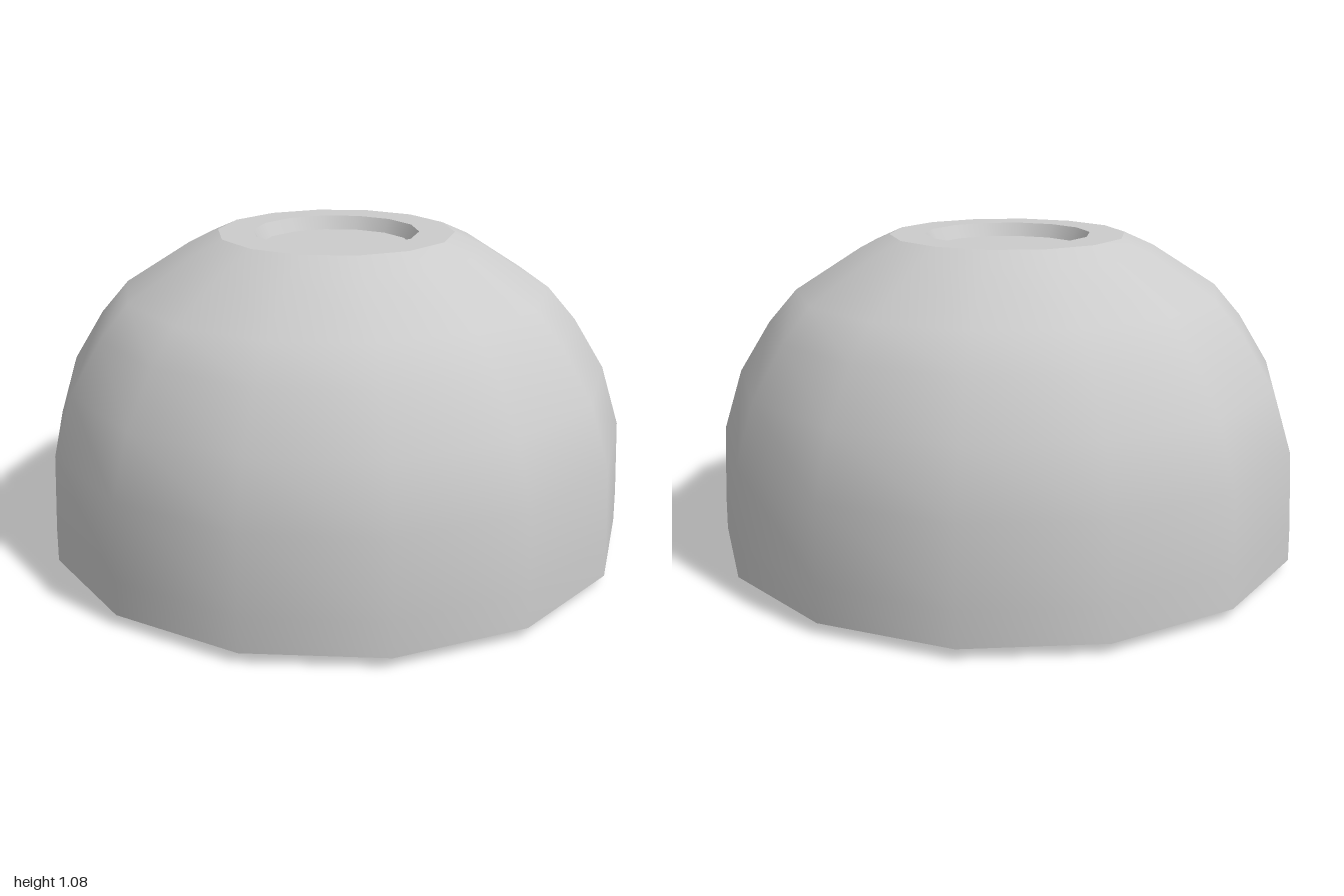
import * as THREE from 'three';

const SIDES = 14;

export function createModel() {
  const group = new THREE.Group();
  group.name = 'dome';
  const material = new THREE.MeshStandardMaterial({ color: 0xcccccc });

  // Each profile is [radius, height], running from the base centre up and over into the recess
  const addRing = (name, profile) => {
    const points = profile.map(([r, y]) => new THREE.Vector2(r, y));
    const mesh = new THREE.Mesh(new THREE.LatheGeometry(points, SIDES, Math.PI / 2), material);
    mesh.name = name;
    group.add(mesh);
  };

  // Underside: flat centre with a shallow bevel out to the rim
  addRing('baseFloor', [[0, 0], [0.78, 0]]);
  addRing('baseBevel', [[0.78, 0], [1, 0.035]]);

  // Smooth outer shell
  addRing('shell', [
    [1, 0.035], [0.998, 0.15], [0.985, 0.405], [0.92, 0.61],
    [0.815, 0.78], [0.72, 0.89], [0.5, 1.03], [0.4, 1.075],
  ]);

  // Flat top with a shallow tapered recess
  addRing('topRim', [[0.4, 1.075], [0.28, 1.075]]);
  addRing('recessWall', [[0.28, 1.075], [0.255, 1.03]]);
  addRing('recessFloor', [[0.255, 1.03], [0, 1.03]]);

  return group;
}
